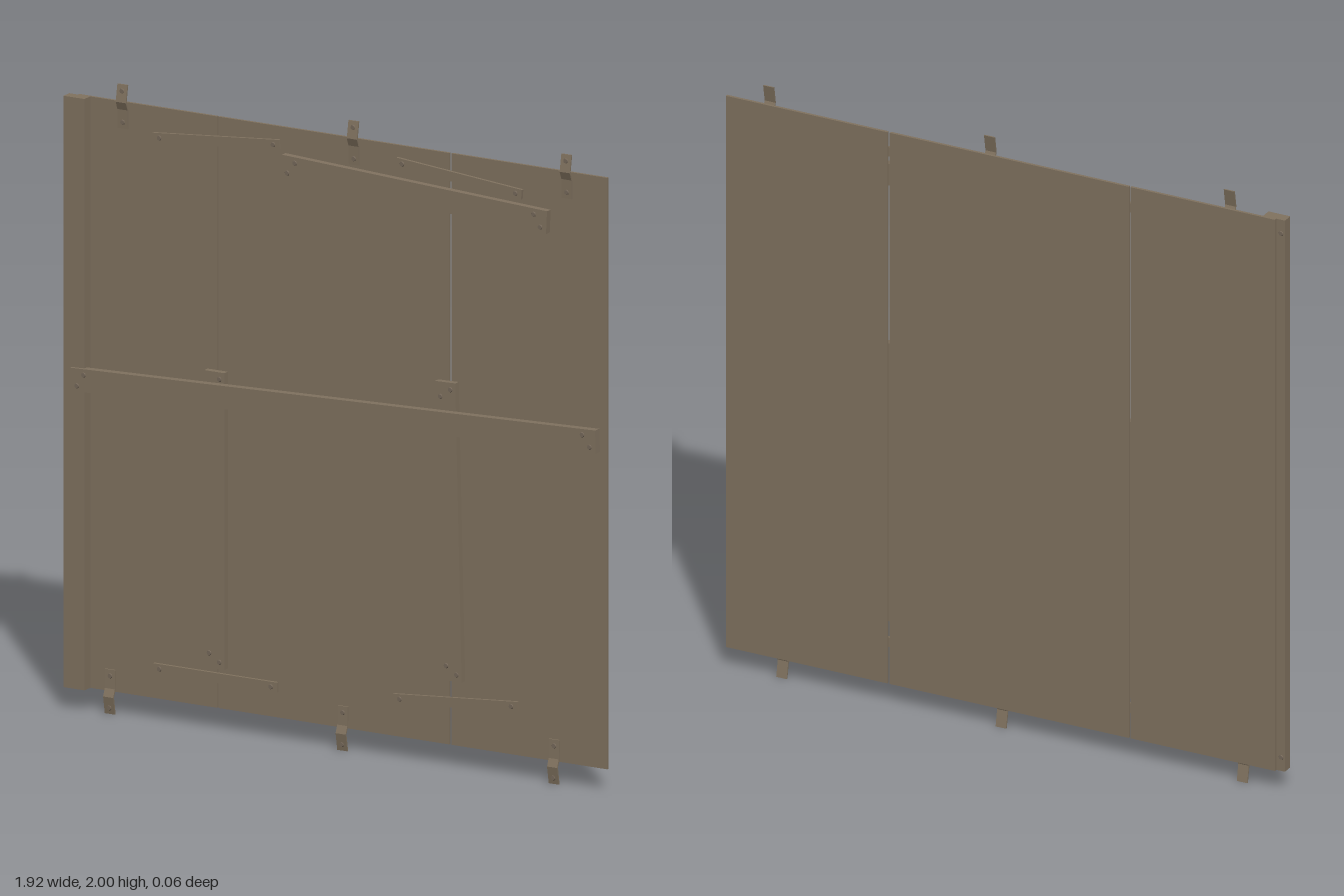
import * as THREE from 'three';

export function createModel() {
  const model = new THREE.Group();
  model.name = 'boardedPanel';
  const wood = new THREE.MeshStandardMaterial({ color: 0x80725f });
  wood.name = 'weathered wood';
  const metal = new THREE.MeshStandardMaterial({ color: 0x75685a });
  metal.name = 'dull metal';

  const box = (name, x0, x1, y0, y1, z0, z1) => {
    const mesh = new THREE.Mesh(new THREE.BoxGeometry(x1 - x0, y1 - y0, z1 - z0), wood);
    mesh.position.set((x0 + x1) / 2, (y0 + y1) / 2, (z0 + z1) / 2);
    mesh.name = name;
    model.add(mesh);
    return mesh;
  };

  // Small round nail head, standing out along z
  const nailGeometry = new THREE.CylinderGeometry(0.007, 0.009, 0.004, 8).rotateX(Math.PI / 2);
  const nail = (parent, x, y, z) => {
    const mesh = new THREE.Mesh(nailGeometry, metal);
    mesh.name = 'nailHead';
    mesh.position.set(x, y, z);
    if (z < 0) mesh.rotation.y = Math.PI;
    parent.add(mesh);
  };

  // Plank between two end points, nailed at both ends
  const plank = (name, [ax, ay], [bx, by], width, z0, z1, nails) => {
    const group = new THREE.Group();
    group.name = name;
    const length = Math.hypot(bx - ax, by - ay);
    const depth = z1 - z0;
    const board = new THREE.Mesh(new THREE.BoxGeometry(length, width, depth), wood);
    board.name = name + 'Board';
    group.add(board);
    for (const end of [-1, 1]) {
      for (let i = 0; i < nails; i++) {
        const side = nails === 1 ? 0 : (i - 0.5) * width * 0.5;
        nail(group, end * (length / 2 - 0.022 - i * 0.025), side, depth / 2 + 0.001);
      }
    }
    group.position.set((ax + bx) / 2, (ay + by) / 2, (z0 + z1) / 2);
    group.rotation.z = Math.atan2(by - ay, bx - ax);
    model.add(group);
  };

  // Three upright sheets with narrow gaps
  [[-0.93, -0.433], [-0.427, 0.396], [0.404, 0.96]].forEach(([x0, x1]) =>
    box('sheet', x0, x1, 0.07, 1.943, -0.031, -0.022));

  // Edge post
  const post = box('edgePost', -0.96, -0.885, 0.07, 1.943, -0.022, 0.013);
  for (const y of [-0.89, 0.89]) nail(post, -0.024, y, -0.0185);

  // Long crossbar and the wide boards beneath it
  plank('crossbar', [-0.928, 1.052], [0.946, 1.115], 0.073, -0.001, 0.024, 2);
  plank('upperBoard', [-0.19, 1.825], [0.757, 1.778], 0.073, -0.022, 0, 2);
  plank('leftUpright', [-0.43, 0.2], [-0.43, 1.14], 0.072, -0.022, -0.001, 2);
  plank('rightUpright', [0.417, 0.278], [0.394, 1.222], 0.073, -0.022, -0.001, 2);

  // Thin battens bridging the gaps
  [
    [[-0.655, 1.847], [-0.205, 1.887]],
    [[0.212, 1.89], [0.66, 1.85]],
    [[-0.655, 0.167], [-0.213, 0.167]],
    [[0.203, 0.19], [0.645, 0.226]],
  ].forEach(([a, b]) => plank('batten', a, b, 0.031, -0.022, -0.012, 1));

  // Bent straps along the top and bottom edges
  const line = [[0, -0.02], [0.06, -0.018], [0.085, -0.008], [0.14, -0.018]];
  const t = 0.005;
  const profile = new THREE.Shape([
    ...line.map(([y, z]) => new THREE.Vector2(z, y)),
    ...line.slice().reverse().map(([y, z]) => new THREE.Vector2(z + t, y)),
  ]);
  const strapGeometry = new THREE.ExtrudeGeometry(profile, { depth: 0.036, bevelEnabled: false });
  strapGeometry.translate(0, 0, -0.018).rotateY(-Math.PI / 2); // profile x becomes z
  const strap = (x, y, turn) => {
    const group = new THREE.Group();
    group.name = turn ? 'bottomStrap' : 'topStrap';
    const band = new THREE.Mesh(strapGeometry, wood);
    band.name = 'strapBand';
    // Upside-down copy for the bottom edge, keeping its depth
    if (turn) band.scale.set(1, -1, 1);
    group.add(band);
    const s = turn ? -1 : 1;
    nail(group, 0, s * 0.02, -0.0135);
    nail(group, 0, s * 0.12, -0.0085);
    group.children.forEach((c) => { if (c.name === 'nailHead') c.rotation.y = 0; });
    group.position.set(x, y, 0);
    model.add(group);
  };
  for (const x of [-0.765, 0.06, 0.82]) strap(x, 1.86, false);
  for (const x of [-0.81, 0.02, 0.775]) strap(x, 0.14, true);

  return model;
}
